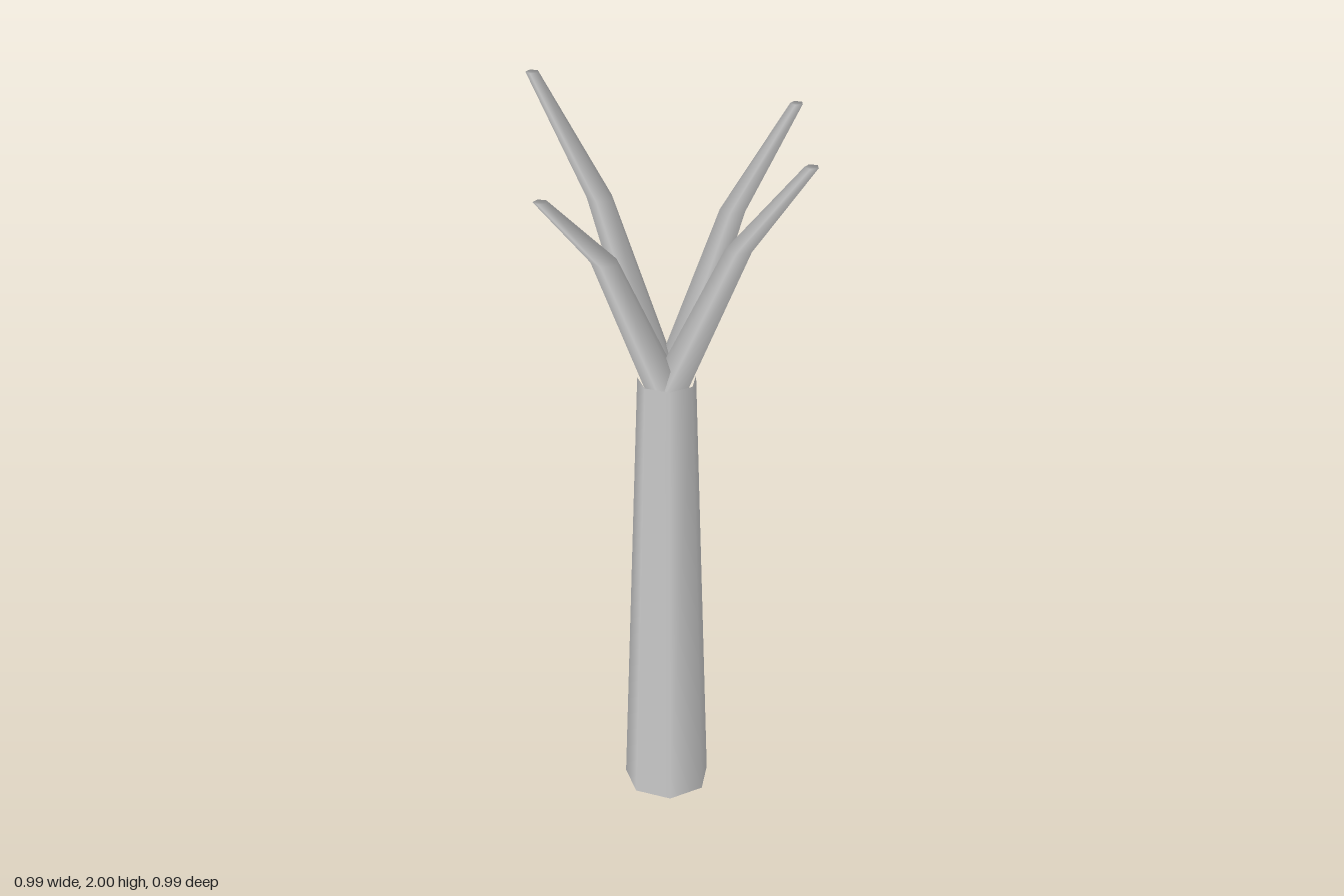
import * as THREE from 'three';

// Smooth loft through horizontal regular rings [x, y, z, radius], listed bottom to top,
// shaded by the outward direction of each ring; capTop closes the last ring
function loft(rings, sides, capTop) {
  const pos = [], nor = [], idx = [];
  for (const [x, y, z, r] of rings) {
    for (let i = 0; i < sides; i++) {
      const a = (i / sides) * Math.PI * 2;
      pos.push(x + r * Math.cos(a), y, z + r * Math.sin(a));
      nor.push(Math.cos(a), 0, Math.sin(a));
    }
  }
  for (let k = 0; k < rings.length - 1; k++) {
    for (let i = 0; i < sides; i++) {
      const j = (i + 1) % sides;
      const a = k * sides + i, b = k * sides + j;
      idx.push(a, a + sides, b, b, a + sides, b + sides);
    }
  }
  if (capTop) {
    const t = (rings.length - 1) * sides;
    for (let i = 1; i < sides - 1; i++) idx.push(t, t + i + 1, t + i);
  }
  const geo = new THREE.BufferGeometry();
  geo.setAttribute('position', new THREE.Float32BufferAttribute(pos, 3));
  geo.setAttribute('normal', new THREE.Float32BufferAttribute(nor, 3));
  geo.setIndex(idx);
  return geo;
}

export function createModel() {
  const bark = new THREE.MeshStandardMaterial({ color: 0xcccccc });
  bark.name = 'greyBark';
  const tree = new THREE.Group();
  tree.name = 'bareTree';

  // Tapered seven-sided trunk, open at the top under the branches
  const trunk = new THREE.Mesh(loft([[0, 0, 0, 0.121], [0, 1.27, 0, 0.08]], 7, false), bark);
  trunk.name = 'trunk';
  tree.add(trunk);

  // Flat underside of the trunk
  const base = new THREE.Mesh(new THREE.CircleGeometry(0.121, 7).rotateX(Math.PI / 2), bark);
  base.name = 'trunkBase';
  tree.add(base);

  // Four bent branches with closed tips: middle point and tip point
  const branches = {
    leftBranch: [[0.247, 1.71, 0.045], [0.474, 1.985, 0.093]],
    rightBranch: [[-0.235, 1.715, -0.037], [-0.48, 2, -0.077]],
    frontBranch: [[-0.02, 1.68, 0.242], [-0.032, 1.91, 0.479]],
    backBranch: [[0.044, 1.68, -0.243], [0.085, 1.91, -0.481]],
  };
  for (const [name, [mid, tip]] of Object.entries(branches)) {
    const branch = new THREE.Mesh(
      loft([[0, 1.23, 0, 0.054], [...mid, 0.036], [...tip, 0.018]], 5, true), bark);
    branch.name = name;
    tree.add(branch);
  }
  return tree;
}
